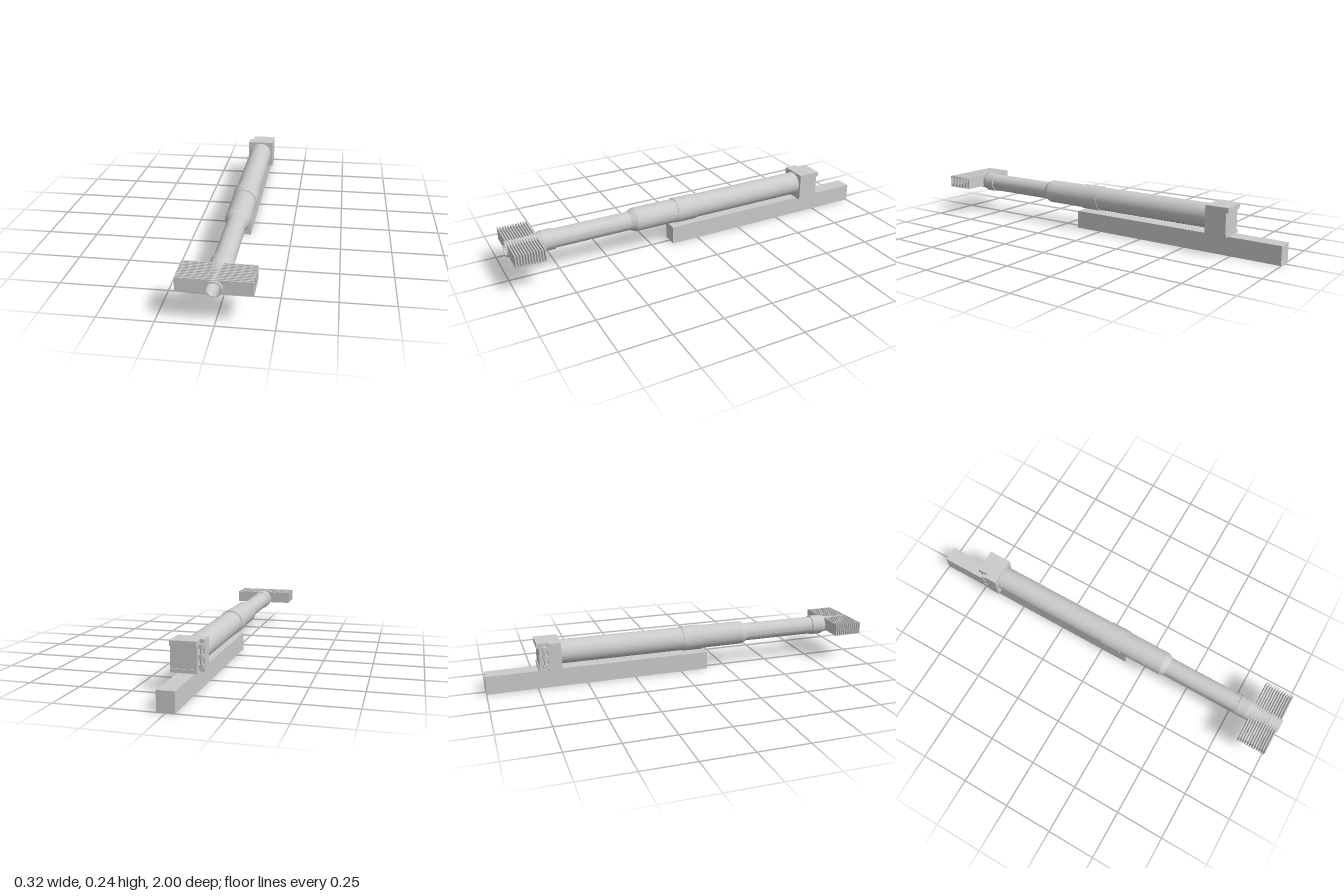
import * as THREE from 'three';
import { toCreasedNormals } from 'three/addons/utils/BufferGeometryUtils.js';

const AXIS_Y = 0.17; // height of the barrel axis

export function createModel() {
  const model = new THREE.Group();
  model.name = 'gun';
  const grey = new THREE.MeshStandardMaterial({ color: 0xcccccc });

  const add = (name, geometry, parent = model) => {
    const mesh = new THREE.Mesh(geometry, grey);
    mesh.name = name;
    parent.add(mesh);
    return mesh;
  };

  // Box given by its extents on each axis
  const box = (name, [x0, x1], [y0, y1], [z0, z1], parent) => {
    const mesh = add(name, new THREE.BoxGeometry(x1 - x0, y1 - y0, z1 - z0), parent);
    mesh.position.set((x0 + x1) / 2, (y0 + y1) / 2, (z0 + z1) / 2);
  };

  // Solid of revolution along z from [radius, z] pairs
  const turned = (name, profile) => {
    const points = profile.map(([r, z]) => new THREE.Vector2(r, z));
    const geometry = new THREE.LatheGeometry(points, 32);
    const mesh = add(name, toCreasedNormals(geometry, 0.35));
    mesh.rotation.x = Math.PI / 2;
    mesh.position.y = AXIS_Y;
  };

  // Cradle beam under the barrel
  box('cradle', [-0.04, 0.04], [0, 0.093], [-1, 0.145]);

  // Barrel with its wide rear sleeve, step and slim front tube
  turned('barrel', [
    [0, -0.64], [0.061, -0.64], [0.061, 0.345], [0.055, 0.36], [0.047, 0.375], [0.047, 0.775], [0, 0.775],
  ]);
  turned('sleeveBand', [[0.06, 0.01], [0.065, 0.01], [0.065, 0.12], [0.06, 0.12]]);

  // Muzzle with collar, taper and open bore
  turned('muzzle', [
    [0.04, 0.765], [0.052, 0.768], [0.052, 0.825], [0.047, 0.838], [0.042, 0.86],
    [0.039, 0.9], [0.039, 0.99], [0.036, 1], [0.03, 1], [0.03, 0.85], [0, 0.85],
  ]);

  // Muzzle brake: thin plates notched around the bore
  const brake = new THREE.Group();
  brake.name = 'muzzleBrake';
  model.add(brake);
  const W = 0.162, low = -0.023, high = 0.04, r = 0.034;
  const a = Math.asin(-low / r);
  const plate = new THREE.Shape();
  plate.moveTo(-W, low);
  plate.lineTo(-r * Math.cos(a), low);
  plate.absarc(0, 0, r, Math.PI + a, -a, true);
  plate.lineTo(W, low);
  plate.lineTo(W, high);
  plate.lineTo(-W, high);
  plate.closePath();
  const plateGeometry = new THREE.ExtrudeGeometry(plate, { depth: 0.006, bevelEnabled: false, curveSegments: 20 });
  const count = 12;
  for (let i = 0; i < count; i++) {
    const mesh = add('brakePlate', plateGeometry, brake);
    mesh.position.set(0, AXIS_Y, 0.846 + (i * 0.14) / (count - 1));
  }

  // Breech block: core with top and bottom lips and a stepped side
  const breech = new THREE.Group();
  breech.name = 'breech';
  model.add(breech);
  box('breechCore', [-0.05, 0.072], [0.094, 0.238], [-0.737, -0.63], breech);
  box('breechTopLip', [-0.05, 0.072], [0.213, 0.238], [-0.748, -0.737], breech);
  box('breechBottomLip', [-0.05, 0.072], [0.094, 0.112], [-0.742, -0.737], breech);
  box('breechSide', [-0.072, -0.05], [0.094, 0.238], [-0.695, -0.63], breech);

  // Hinge in the cut-away corner of the breech
  for (const y of [0.12, 0.165, 0.21]) {
    box('hingeLug', [-0.07, -0.05], [y - 0.01, y + 0.01], [-0.72, -0.695], breech);
  }
  const pin = add('hingePin', new THREE.CylinderGeometry(0.006, 0.006, 0.11, 12), breech);
  pin.position.set(-0.062, 0.165, -0.711);

  return model;
}
